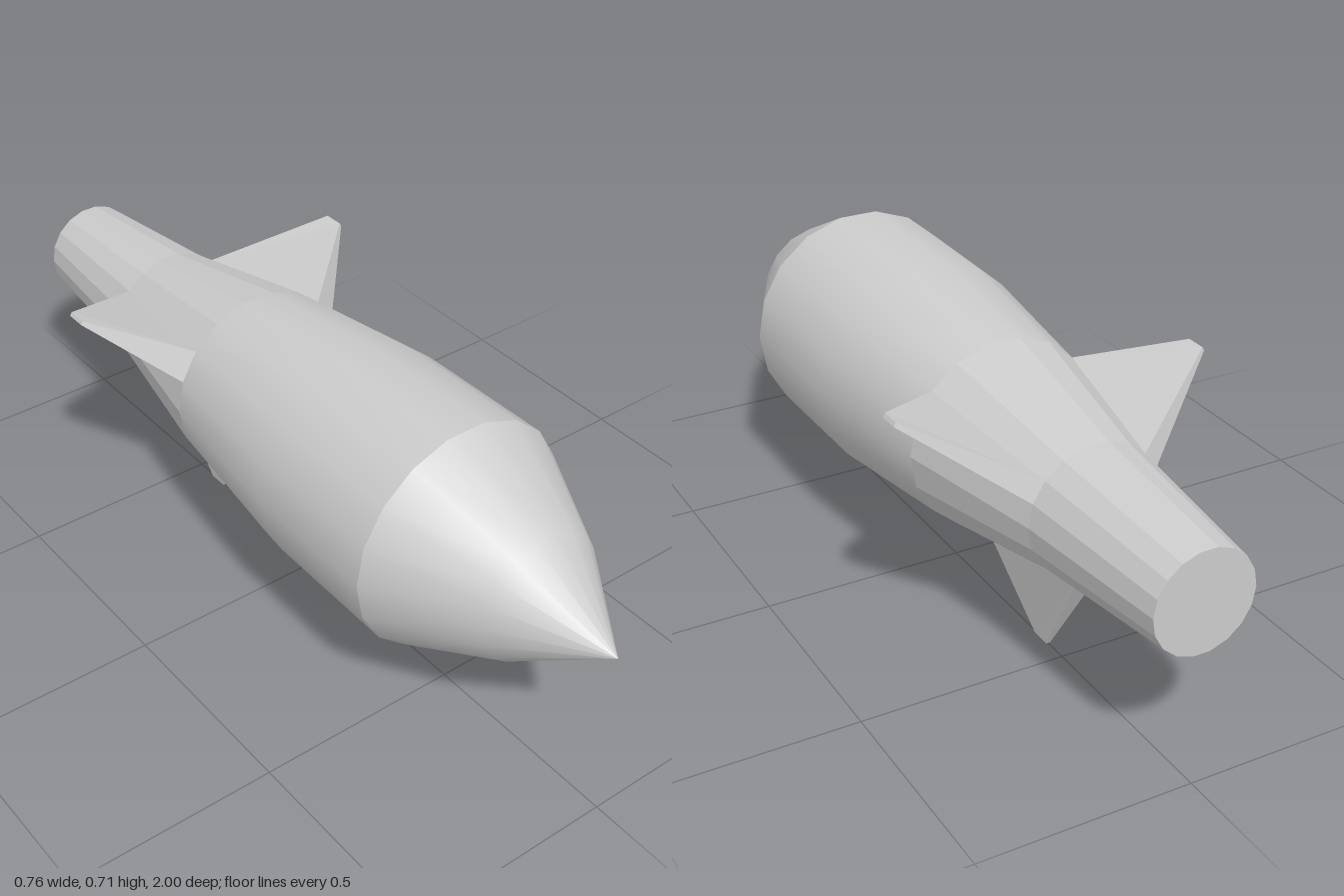
import * as THREE from 'three';

const SIDES = 18;
const AXIS_Y = 0.436;

// Lathe around the z axis; profile is [radius, z] running from back to front
function turned(name, profile, flatShading) {
  const geometry = new THREE.LatheGeometry(
    profile.map(([r, z]) => new THREE.Vector2(r, z)), SIDES, Math.PI / 2);
  geometry.rotateX(Math.PI / 2);
  const mesh = new THREE.Mesh(geometry, new THREE.MeshStandardMaterial({ color: 0xcccccc, flatShading }));
  mesh.name = name;
  return mesh;
}

// Tapered fin pointing along +x, lofted from a wedge-shaped root to a thin tip
function finGeometry() {
  const half = Math.PI / SIDES;
  const section = (x0, y0, z0, x1, y1, z1) => [
    [x0, y0, z0], [x0, -y0, z0], [x1, -y1, z1], [x1, y1, z1]];
  const rootAt = (r) => [r * Math.cos(half), r * Math.sin(half)];
  const root = section(...rootAt(0.233), -0.22, ...rootAt(0.159), -0.605);
  const tip = section(0.436, 0.005, -0.39, 0.436, 0.005, -0.44);
  const position = [];
  const quad = (a, b, c, d) => position.push(...a, ...b, ...c, ...a, ...c, ...d);
  for (let i = 0; i < 4; i++) {
    const j = (i + 1) % 4;
    quad(root[i], root[j], tip[j], tip[i]);
  }
  quad(...tip);
  const geometry = new THREE.BufferGeometry();
  geometry.setAttribute('position', new THREE.Float32BufferAttribute(position, 3));
  geometry.computeVertexNormals();
  return geometry;
}

export function createModel() {
  const model = new THREE.Group();
  model.name = 'finnedProjectile';

  // Hull: faceted tail, smooth body and smooth nose
  const hull = new THREE.Group();
  hull.name = 'hull';
  hull.position.y = AXIS_Y;
  hull.add(
    turned('tail', [[0, -1], [0.12, -1], [0.159, -0.605], [0.233, -0.22]], true),
    turned('body', [[0.233, -0.22], [0.278, 0.16], [0.282, 0.52]], false),
    turned('nose', [[0.282, 0.52], [0.16, 0.77], [0, 1]], false));
  model.add(hull);

  // Three fins, evenly spaced, one pointing straight down
  const geometry = finGeometry();
  const material = new THREE.MeshStandardMaterial({
    color: 0xcccccc, flatShading: true, side: THREE.DoubleSide });
  const fins = { leftFin: 30, rightFin: 150, bottomFin: 270 };
  for (const [name, degrees] of Object.entries(fins)) {
    const fin = new THREE.Mesh(geometry, material);
    fin.name = name;
    fin.position.y = AXIS_Y;
    fin.rotation.z = THREE.MathUtils.degToRad(degrees);
    model.add(fin);
  }
  return model;
}
